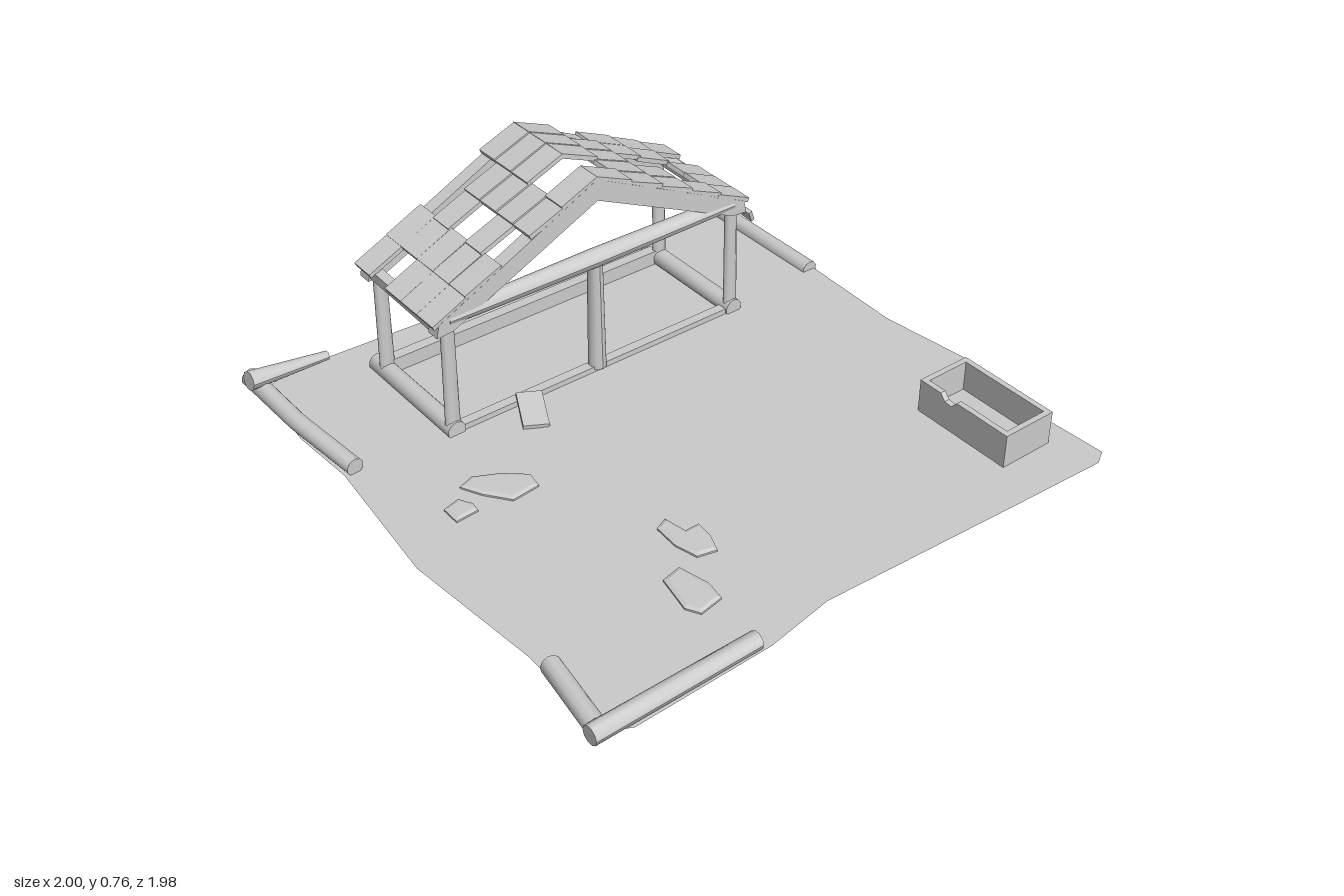
import * as THREE from 'three';

const grey = new THREE.MeshStandardMaterial({ color: 0xcccccc });
const flat = new THREE.MeshStandardMaterial({ color: 0xcccccc, flatShading: true });
const sheet = new THREE.MeshStandardMaterial({ color: 0xcccccc, side: THREE.DoubleSide });
const V = (x, y, z) => new THREE.Vector3(x, y, z);

export function createModel() {
  const root = new THREE.Group();

  const add = (name, geometry, material = flat) => {
    const mesh = new THREE.Mesh(geometry, material);
    mesh.name = name;
    root.add(mesh);
    return mesh;
  };
  const box = (name, w, h, d, x, y, z) => {
    const mesh = add(name, new THREE.BoxGeometry(w, h, d));
    mesh.position.set(x, y, z);
    return mesh;
  };
  // Round timber from a to b; the middle ring is shifted by (bend x, bend z)
  const log = (name, a, b, r0, r1 = r0, bend = [0, 0], swell = 1) => {
    const geo = new THREE.CylinderGeometry(r1, r0, a.distanceTo(b), 10, 2);
    const p = geo.attributes.position;
    for (let i = 0; i < p.count; i++) {
      if (Math.abs(p.getY(i)) < 1e-4) p.setXYZ(i, p.getX(i) * swell, 0, p.getZ(i) * swell);
    }
    const dir = b.clone().sub(a).normalize();
    geo.applyQuaternion(new THREE.Quaternion().setFromUnitVectors(V(0, 1, 0), dir));
    const half = a.distanceTo(b) / 2;
    for (let i = 0; i < p.count; i++) {
      const along = V(0, 0, 0).fromBufferAttribute(p, i).dot(dir);
      const k = Math.max(0, 1 - Math.abs(along) / half);
      p.setX(i, p.getX(i) + bend[0] * k);
      p.setZ(i, p.getZ(i) + bend[1] * k);
    }
    geo.computeVertexNormals();
    const mesh = add(name, geo, grey);
    mesh.position.copy(a).lerp(b, 0.5);
    return mesh;
  };
  // Plan outline given as [x, z] pairs
  const plan = (pts) => new THREE.Shape(pts.map(([x, z]) => new THREE.Vector2(x, -z)));

  // Uneven ground sheet
  const ground = new THREE.ShapeGeometry(plan([
    [-0.93, -0.95], [-0.82, -0.99], [-0.25, -0.965], [0.2, -0.97], [0.57, -0.945], [0.9, -0.99],
    [0.96, -0.96], [0.97, -0.4], [0.955, 0], [1, 0.35], [0.955, 0.64], [0.97, 0.95], [0.92, 0.98],
    [0.57, 0.965], [-0.16, 0.93], [-0.4, 0.97], [-0.88, 0.98], [-0.96, 0.94], [-0.95, 0.6],
    [-1, 0.1], [-0.95, -0.4], [-0.965, -0.65],
  ]));
  ground.rotateX(-Math.PI / 2);
  ground.translate(0, 0.02, 0);
  add('ground', ground, sheet);

  // Logs along the borders of the plot
  log('borderLogBackLeft', V(-0.955, 0.06, -0.99), V(-0.915, 0.043, -0.39), 0.032, 0.03, [-0.012, 0]);
  log('borderLogBackRight', V(0.95, 0.022, -0.995), V(0.95, 0.022, -0.4), 0.031);
  log('borderLogFront', V(-1, 0.038, 0.945), V(-0.43, 0.04, 0.942), 0.031, 0.029);
  log('borderLogFrontLeft', V(-0.925, 0.028, 0.66), V(-0.962, 0.028, 0.92), 0.031);
  log('brokenLog', V(-0.995, 0.105, -0.912), V(-0.705, 0.072, -0.927), 0.034, 0.016);

  // Flat stones
  [
    [[-0.8, -0.07], [-0.74, -0.085], [-0.715, -0.04], [-0.72, -0.005], [-0.8, 0]],
    [[-0.705, -0.13], [-0.65, -0.15], [-0.57, -0.11], [-0.5, -0.05], [-0.51, 0.01], [-0.61, 0.02], [-0.67, -0.06]],
    [[-0.475, 0.58], [-0.405, 0.565], [-0.38, 0.67], [-0.39, 0.74], [-0.475, 0.755], [-0.5, 0.71]],
    [[-0.35, 0.39], [-0.305, 0.37], [-0.29, 0.45], [-0.24, 0.45], [-0.245, 0.51], [-0.27, 0.575], [-0.335, 0.56], [-0.355, 0.48]],
  ].forEach((pts, i) => {
    const geo = new THREE.ExtrudeGeometry(plan(pts), {
      depth: 0.006, bevelSize: 0.012, bevelOffset: -0.012, bevelThickness: 0.005, bevelSegments: 1,
    });
    geo.rotateX(-Math.PI / 2);
    add('stone' + (i + 1), geo).position.y = 0.02;
  });

  // Open trough with a chipped left wall
  box('troughFloor', 0.18, 0.012, 0.35, 0.772, 0.026, 0.627);
  box('troughWallRight', 0.02, 0.12, 0.375, 0.863, 0.08, 0.627);
  for (const z of [0.45, 0.805]) box('troughEnd', 0.165, 0.12, 0.02, 0.772, 0.08, z);
  const wall = new THREE.Shape([
    [-0.815, 0.02], [-0.44, 0.02], [-0.44, 0.14], [-0.53, 0.14], [-0.55, 0.118],
    [-0.58, 0.115], [-0.6, 0.14], [-0.815, 0.14],
  ].map(([x, y]) => new THREE.Vector2(x, y)));
  const wallGeo = new THREE.ExtrudeGeometry(wall, { depth: 0.02, bevelEnabled: false });
  wallGeo.rotateY(Math.PI / 2);
  add('troughWallLeft', wallGeo).position.x = 0.67;

  // Sills on the ground
  box('backSill', 1.1, 0.07, 0.04, 0, 0.037, -0.79);
  box('frontSill', 1.1, 0.028, 0.035, 0, 0.026, -0.385);
  for (const s of [-1, 1]) {
    log('sideSill', V(0.565 * s, s < 0 ? 0.033 : 0.038, -0.845), V(0.565 * s, 0.036, -0.36), 0.033);
    // Corner posts and eave beams
    for (const z of [-0.383, -0.78]) {
      const post = log('cornerPost', V(0.565 * s, 0.04, z), V(0.56 * s, 0.45, z), 0.027, 0.024);
      post.scale.z = 0.6;
    }
    box('eaveBeam', 0.035, 0.035, 0.44, 0.585 * s, 0.427, -0.59).rotation.x = 0.03;
  }
  log('middlePost', V(0, 0.03, -0.385), V(0, 0.43, -0.385), 0.032, 0.027);
  log('frontTieBeam', V(-0.56, 0.448, -0.385), V(0.56, 0.448, -0.385), 0.028, 0.028, [0, 0], 1.2);

  // Gable rafters, front and back
  const gable = new THREE.Shape([
    [0, 0.745], [-0.6, 0.45], [-0.61, 0.405], [-0.55, 0.41], [0, 0.67], [0.55, 0.41], [0.61, 0.405], [0.6, 0.45],
  ].map(([x, y]) => new THREE.Vector2(x, y)));
  for (const z of [-0.41, -0.815]) {
    add('gableRafter', new THREE.ExtrudeGeometry(gable, { depth: 0.05, bevelEnabled: false })).position.z = z;
  }

  // Roof tiles, with the missing ones listed as column-row (columns run front to back)
  const missing = { '1': ['1-0', '1-3', '2-2', '2-3', '3-4', '4-1'], '-1': ['0-2', '1-0', '2-2', '3-4', '4-1', '4-2'] };
  for (const s of [-1, 1]) for (let c = 0; c < 5; c++) for (let r = 0; r < 5; r++) {
    if (missing[s].includes(c + '-' + r)) continue;
    const wobble = Math.sin(c * 12.9 + r * 7.3 + s * 3.1);
    const x = 0.065 + 0.122 * r;
    const tile = box('roofTile', 0.148, 0.016, 0.089, x * s, 0.75 - 0.492 * x, -0.405 - 0.0925 * c);
    tile.rotation.set(wobble * 0.03, wobble * 0.02, -s * (0.41 + wobble * 0.03));
  }

  // Loose plank hanging from the right eave
  const plank = box('hangingPlank', 0.014, 0.05, 0.38, 0.635, 0.39, -0.57);
  plank.rotation.set(0.17, 0.11, 0.45);

  // Fallen tile leaning by the front sill
  const fallen = box('fallenTile', 0.085, 0.014, 0.16, -0.315, 0.036, -0.305);
  fallen.rotation.set(0.12, -0.45, 0);

  return root;
}
